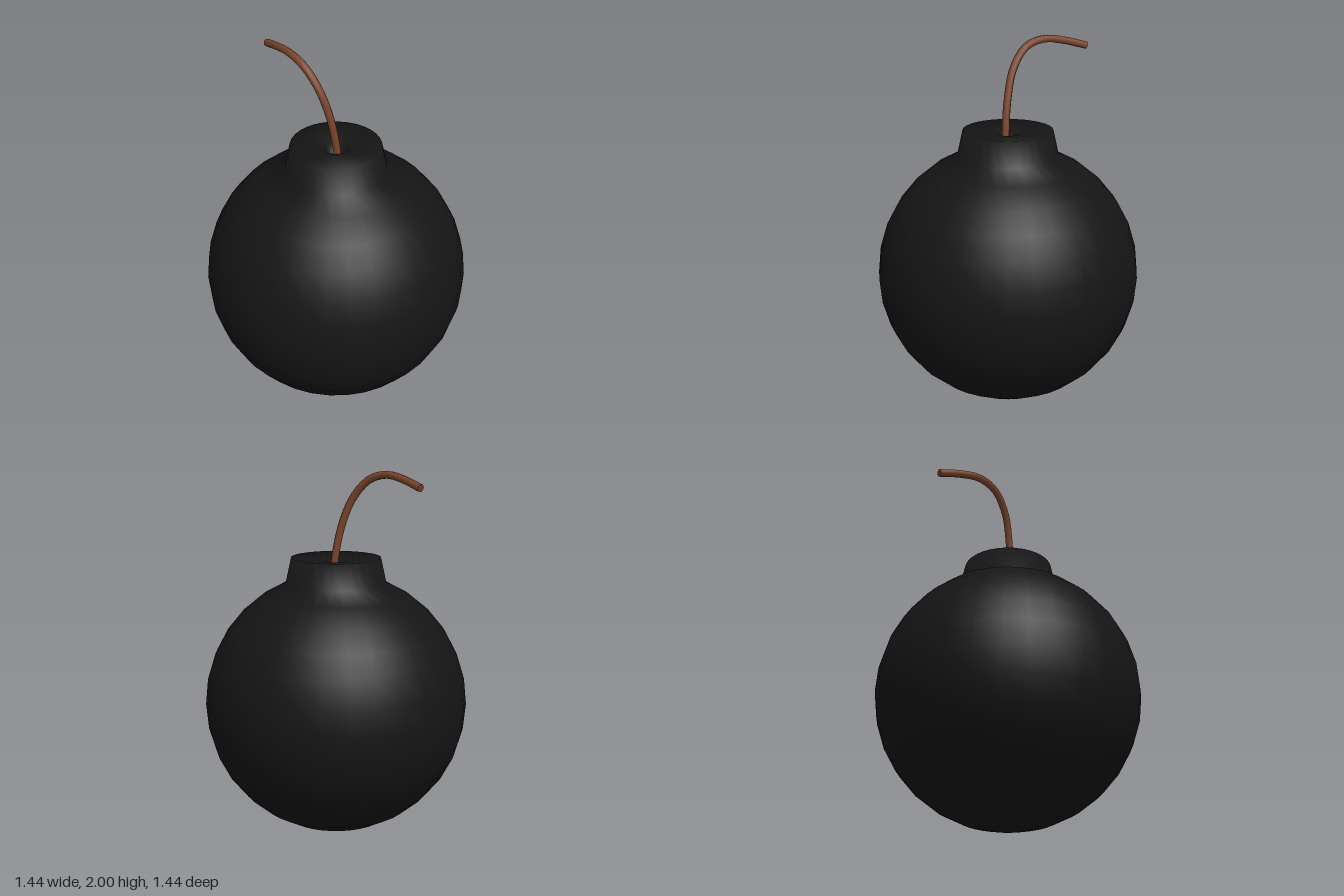
import * as THREE from 'three';

const SIDES = 32;
const BODY_RADIUS = 0.72;
const FUSE_RADIUS = 0.021;

export function createModel() {
  const group = new THREE.Group();
  const iron = new THREE.MeshStandardMaterial({ color: 0x151515 });
  const cord = new THREE.MeshStandardMaterial({ color: 0x7a452b });

  // Body: ball from the bottom pole up to the neck, then neck, dished top and fuse hole
  const profile = [];
  for (let i = 0; i <= 14; i++) {
    const a = (i / 16) * Math.PI;
    profile.push(new THREE.Vector2(BODY_RADIUS * Math.sin(a), BODY_RADIUS * (1 - Math.cos(a))));
  }
  for (const [r, y] of [[0.245, 1.525], [0.06, 1.505], [0.05, 1.45], [0, 1.45]]) {
    profile.push(new THREE.Vector2(r, y));
  }
  const body = new THREE.Mesh(new THREE.LatheGeometry(profile, SIDES), iron);
  body.name = 'body';
  group.add(body);

  // Fuse: a round cord rising from the hole and bending over to the right and back
  const path = new THREE.CatmullRomCurve3([
    [0.015, 1.45, 0.005],
    [0.007, 1.53, 0.01],
    [-0.025, 1.69, 0.018],
    [-0.085, 1.84, 0.022],
    [-0.18, 1.945, 0.004],
    [-0.29, 1.978, -0.042],
    [-0.4, 1.96, -0.11],
    [-0.505, 1.925, -0.185],
  ].map((p) => new THREE.Vector3(...p)));
  const fuse = new THREE.Group();
  fuse.name = 'fuse';
  const fuseCord = new THREE.Mesh(new THREE.TubeGeometry(path, 24, FUSE_RADIUS, 8), cord);
  fuseCord.name = 'fuseCord';

  // Flat cap on the free end of the cord
  const end = path.getPoint(1);
  const fuseTip = new THREE.Mesh(new THREE.CircleGeometry(FUSE_RADIUS, 8), cord);
  fuseTip.name = 'fuseTip';
  fuseTip.position.copy(end);
  fuseTip.lookAt(end.clone().add(path.getTangent(1)));
  fuse.add(fuseCord, fuseTip);
  group.add(fuse);

  return group;
}
